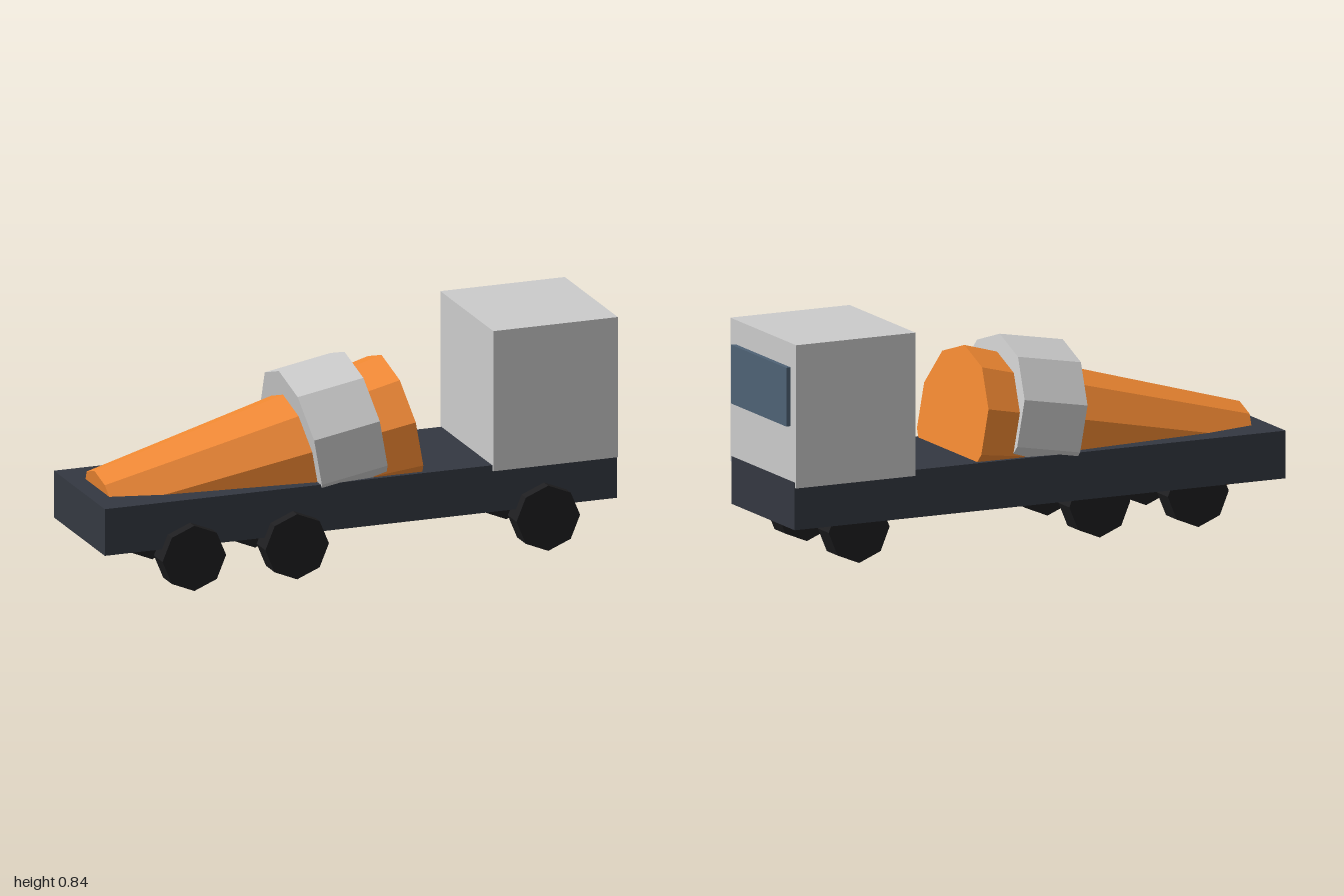
import * as THREE from 'three';

const Z0 = -0.015; // centre line of the body

const material = (color, side = THREE.FrontSide) =>
  new THREE.MeshStandardMaterial({ color, side, flatShading: true });

const orange = material(0xf08832);
const grey = material(0xcccccc);
const rubber = material(0x1e1e20);
const glass = material(0x4e6275);

export function createModel() {
  const model = new THREE.Group();

  const add = (name, geometry, mat, x, y, z) => {
    const mesh = new THREE.Mesh(geometry, mat);
    mesh.name = name;
    mesh.position.set(x, y, z);
    model.add(mesh);
    return mesh;
  };

  // Box given by its limits; an open one has no bottom face
  const box = (name, mat, [x0, x1], [y0, y1], [z0, z1], open = false) => {
    const geometry = new THREE.BoxGeometry(x1 - x0, y1 - y0, z1 - z0);
    if (open) {
      const index = Array.from(geometry.index.array);
      index.splice(18, 6);
      geometry.setIndex(index);
      geometry.clearGroups();
    }
    return add(name, geometry, mat, (x0 + x1) / 2, (y0 + y1) / 2, (z0 + z1) / 2);
  };

  // Chassis and cab, both open underneath
  box('chassis', material(0x343841, THREE.DoubleSide),
    [-1, 0.983], [0.157, 0.333], [-0.27, 0.24], true);
  box('cab', material(0xcccccc, THREE.DoubleSide),
    [0.5, 0.982], [0.313, 0.842], [-0.28, 0.25], true);
  box('windscreen', glass, [0.975, 1], [0.535, 0.752], [-0.236, 0.207]);

  // Ten-sided mixer parts, lying along the truck and tilted up to the front
  const tilted = (name, mat, rFront, rRear, length, x, y) => {
    const geometry = new THREE.CylinderGeometry(
      rFront, rRear, length, 10, 1, false, Math.PI / 2);
    add(name, geometry, mat, x, y, Z0).rotation.z = THREE.MathUtils.degToRad(-80);
  };
  tilted('mixerDrum', orange, 0.272, 0.155, 1.149, -0.349, 0.346);
  tilted('drumBand', grey, 0.28, 0.28, 0.258, -0.052, 0.443);

  // Three pairs of eight-sided wheels
  const wheel = new THREE.CylinderGeometry(0.123, 0.123, 0.087, 8).rotateX(Math.PI / 2);
  for (const x of [-0.67, -0.272, 0.7]) {
    add('leftWheel', wheel, rubber, x, 0.123, 0.239);
    add('rightWheel', wheel, rubber, x, 0.123, -0.181);
  }

  return model;
}
